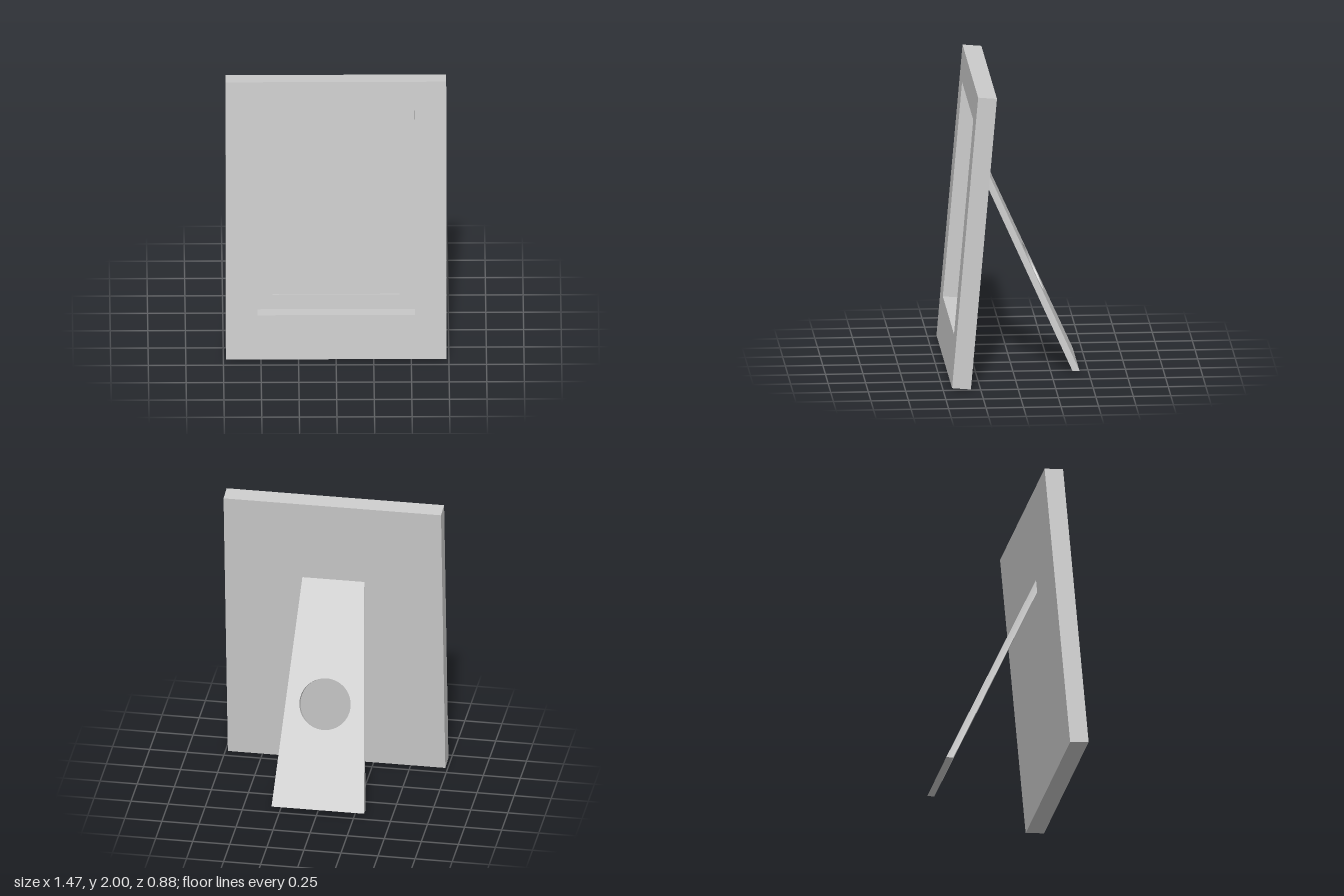
import * as THREE from 'three';
import { toCreasedNormals } from 'three/addons/utils/BufferGeometryUtils.js';

const W = 1.467, H = 1.996;               // outer size of the frame
const TILT = THREE.MathUtils.degToRad(5); // backward lean of the frame
const LEG_ANGLE = Math.atan(0.4485);      // lean of the easel leg
const LEG_LENGTH = 1.542, LEG_THICK = 0.043;

// Closed path of a rectangle centred on x = 0
function rect(PathType, width, y0, y1) {
  const w = width / 2;
  return new PathType([[-w, y0], [w, y0], [w, y1], [-w, y1]].map(([x, y]) => new THREE.Vector2(x, y)));
}

// Full-size slab with an optional rectangular opening, its front at depth z
function layer(name, z, depth, opening) {
  const shape = rect(THREE.Shape, W, 0, H);
  if (opening) shape.holes.push(rect(THREE.Path, ...opening));
  const geometry = new THREE.ExtrudeGeometry(shape, { depth, bevelEnabled: false });
  const mesh = new THREE.Mesh(geometry, new THREE.MeshStandardMaterial({ color: 0xcccccc }));
  mesh.position.z = -z - depth;
  mesh.name = name;
  return mesh;
}

// Tapered leg with a round hole; its ends are mitred to the ground and the frame back
function createLeg() {
  const shape = new THREE.Shape([[-0.3125, 0], [0.3125, 0], [0.21, LEG_LENGTH], [-0.21, LEG_LENGTH]]
    .map(([x, y]) => new THREE.Vector2(x, y)));
  shape.holes.push(new THREE.Path().absarc(0, 0.708, 0.1725, 0, Math.PI * 2, true));
  const geometry = new THREE.ExtrudeGeometry(shape, { depth: LEG_THICK, bevelEnabled: false, curveSegments: 32 });
  const p = geometry.attributes.position;
  for (let i = 0; i < p.count; i++) {
    const y = p.getY(i), z = p.getZ(i);
    if (y < 0.01) p.setY(i, y + z * Math.tan(LEG_ANGLE));
    else if (y > LEG_LENGTH - 0.01) p.setY(i, y - z / Math.tan(LEG_ANGLE + TILT));
  }
  const leg = new THREE.Mesh(toCreasedNormals(geometry, 0.5), new THREE.MeshStandardMaterial({ color: 0xcccccc }));
  leg.name = 'easelLeg';
  leg.position.set(0, 0.01, -0.44);
  leg.rotation.x = LEG_ANGLE;
  return leg;
}

export function createModel() {
  const model = new THREE.Group();
  model.name = 'pictureFrame';

  // Leaning frame: deep border, thin mat, then a closed back that shows as the picture
  const frame = new THREE.Group();
  frame.name = 'frame';
  frame.add(
    layer('border', 0, 0.105, [1.049, 0.318, 1.791]),
    layer('mat', 0.105, 0.012, [0.843, 0.422, 1.686]),
    layer('backPanel', 0.117, 0.009)
  );
  frame.position.set(0, 0.011, 0.44);
  frame.rotation.x = -TILT;

  model.add(frame, createLeg());
  return model;
}
